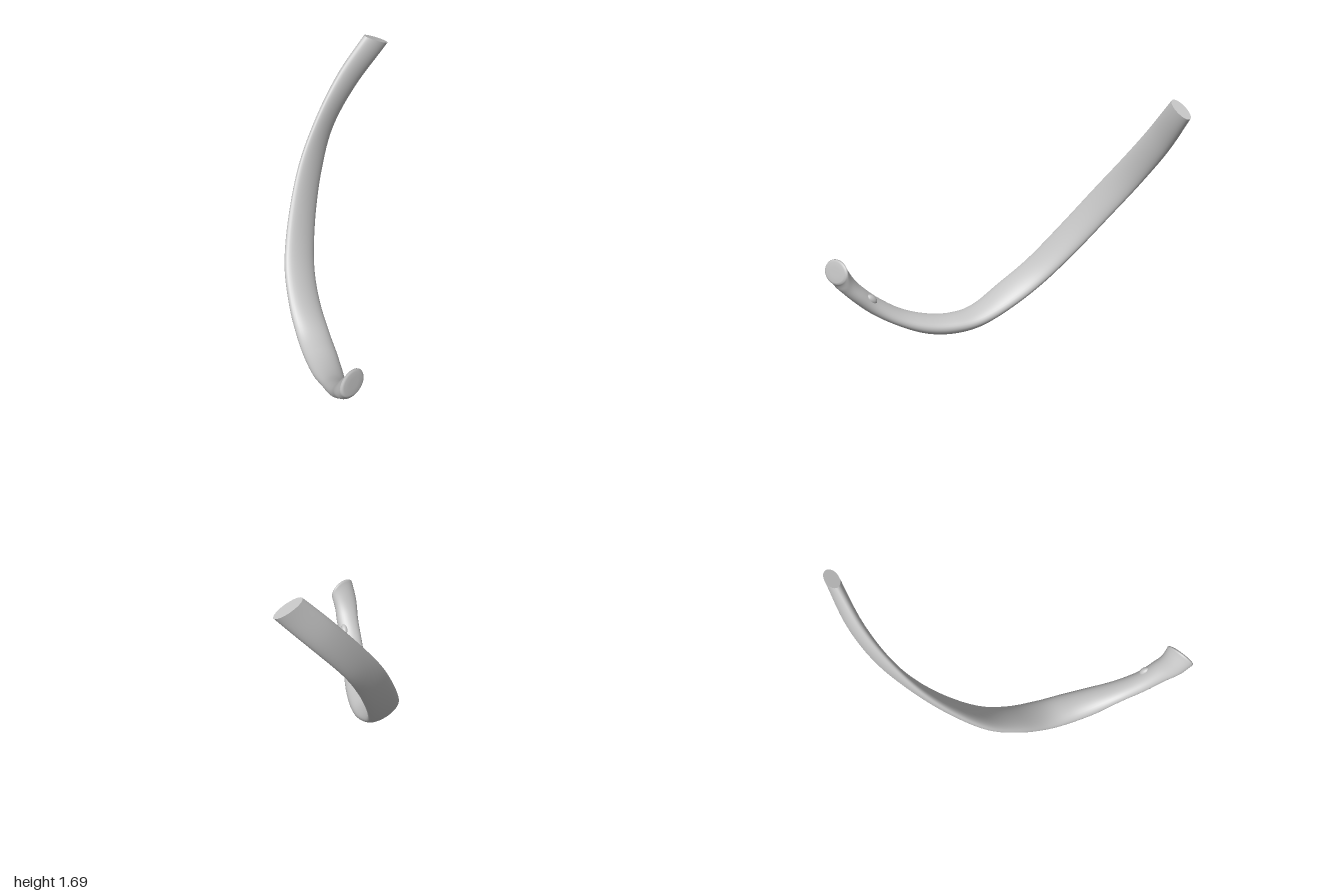
import * as THREE from 'three';

// Stations along the rib: centre, wide axis, half width, half thickness
const STATIONS = [
  [[-0.605, 1.655, -0.915], [-0.32, 0.45, 0.8], 0.1, 0.044],
  [[-0.685, 1.4, -0.7], [-0.1, 0.63, 0.76], 0.102, 0.044],
  [[-0.705, 1.15, -0.485], [0, 0.66, 0.75], 0.105, 0.038],
  [[-0.66, 0.9, -0.28], [-0.14, 0.58, 0.8], 0.112, 0.039],
  [[-0.565, 0.635, -0.08], [-0.24, 0.5, 0.83], 0.117, 0.042],
  [[-0.435, 0.395, 0.1], [-0.34, 0.43, 0.84], 0.12, 0.046],
  [[-0.275, 0.23, 0.235], [-0.36, 0.33, 0.87], 0.12, 0.05],
  [[-0.1, 0.107, 0.345], [-0.48, 0.15, 0.86], 0.115, 0.056],
  [[0.05, 0.07, 0.44], [-0.55, 0.06, 0.83], 0.11, 0.062],
  [[0.2, 0.085, 0.545], [-0.58, 0.1, 0.8], 0.1, 0.06],
  [[0.35, 0.15, 0.655], [-0.62, 0.2, 0.75], 0.083, 0.05],
  [[0.48, 0.245, 0.755], [-0.6, 0.2, 0.77], 0.076, 0.054],
  [[0.58, 0.345, 0.82], [-0.45, 0.1, 0.88], 0.08, 0.057],
  [[0.645, 0.43, 0.868], [-0.2, 0, 0.98], 0.09, 0.062],
  [[0.703, 0.522, 0.89], [0, 0, 1], 0.105, 0.086],
];
const RINGS = 112, SIDES = 32;

const curve = (points) => new THREE.CatmullRomCurve3(points, false, 'catmullrom', 0.5);
const centre = curve(STATIONS.map((s) => new THREE.Vector3(...s[0])));
const wide = curve(STATIONS.map((s) => new THREE.Vector3(...s[1]).normalize()));
const size = curve(STATIONS.map((s) => new THREE.Vector3(s[2], s[3], 0)));
const HEAD_NORMAL = new THREE.Vector3(1, 0.2, 0.03).normalize();

// Elliptical cross-section at t, optionally shrunk and pushed along the shaft
function ring(t, scale = 1, push = 0) {
  const c = centre.getPoint(t), w = wide.getPoint(t).normalize(), s = size.getPoint(t);
  const n = centre.getTangent(t).lerp(HEAD_NORMAL, THREE.MathUtils.smoothstep(t, 0.88, 1)).normalize();
  const b = new THREE.Vector3().crossVectors(n, w).normalize();
  c.addScaledVector(n, push);
  return Array.from({ length: SIDES }, (_, j) => {
    const a = (j / SIDES) * Math.PI * 2;
    return c.clone()
      .addScaledVector(w, Math.cos(a) * s.x * scale)
      .addScaledVector(b, Math.sin(a) * s.y * scale);
  });
}

function surface(points, index) {
  const g = new THREE.BufferGeometry().setFromPoints(points);
  g.setIndex(index);
  g.computeVertexNormals();
  return g;
}

// Shaft loft, closed by a softly domed head
function shaftGeometry() {
  const rings = [];
  for (let i = 0; i <= RINGS; i++) rings.push(ring(i / RINGS));
  rings.push(ring(1, 0.95, 0.008), ring(1, 0.8, 0.013), ring(1, 0.4, 0.014), ring(1, 0, 0.014));
  const index = [];
  for (let i = 0; i < rings.length - 1; i++) {
    for (let j = 0; j < SIDES; j++) {
      const k = (j + 1) % SIDES;
      const a = i * SIDES + j, b = i * SIDES + k;
      index.push(a, b, b + SIDES, a, b + SIDES, a + SIDES);
    }
  }
  return surface(rings.flat(), index);
}

// Flat face at the cut end
function cutGeometry() {
  const points = [...ring(0), centre.getPoint(0)], index = [];
  for (let j = 0; j < SIDES; j++) index.push((j + 1) % SIDES, j, SIDES);
  return surface(points, index);
}

export function createModel() {
  const group = new THREE.Group();
  group.name = 'rib';
  const bone = new THREE.MeshStandardMaterial({ color: 0xc4c4c4 });
  bone.name = 'bone grey';

  const add = (name, geometry) => {
    const mesh = new THREE.Mesh(geometry, bone);
    mesh.name = name;
    group.add(mesh);
    return mesh;
  };
  add('shaftAndHead', shaftGeometry());
  add('cutEnd', cutGeometry());

  // Small rough knob on the inner side of the neck
  const knob = add('tubercle', new THREE.SphereGeometry(1, 16, 12));
  knob.scale.set(0.045, 0.028, 0.026);
  knob.position.set(0.535, 0.315, 0.74);
  knob.rotation.set(0, -0.6, 0.7);
  return group;
}
